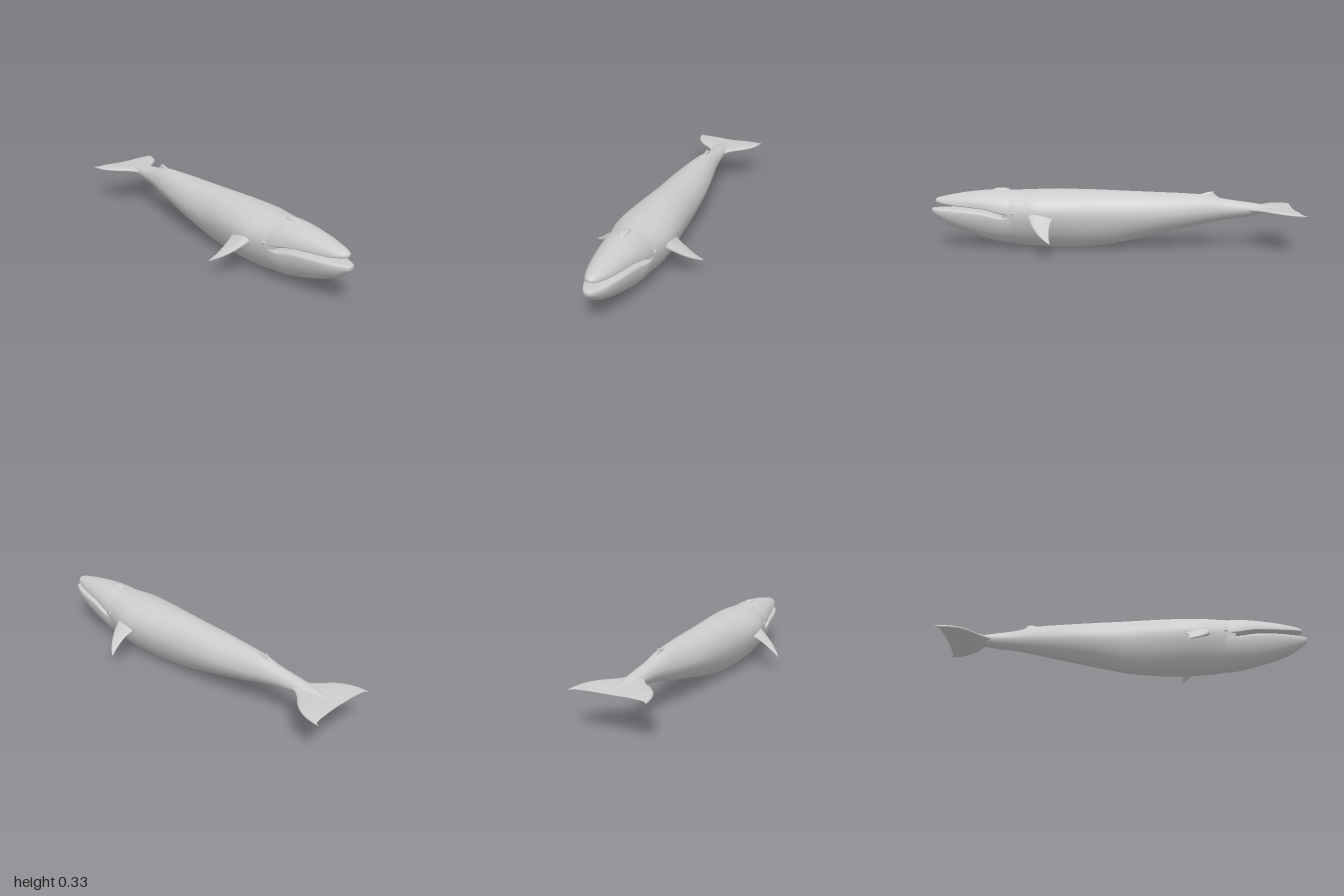
import * as THREE from 'three';

const material = new THREE.MeshStandardMaterial({ color: 0xcccccc });

// Smooth interpolation between the rows of a small station table
function refine(rows, steps) {
  const out = [];
  const at = (i) => rows[Math.min(Math.max(i, 0), rows.length - 1)];
  for (let i = 0; i < rows.length - 1; i++) {
    for (let s = 0; s < steps; s++) {
      const t = s / steps;
      out.push(at(i).map((p1, k) => {
        const p0 = at(i - 1)[k], p2 = at(i + 1)[k], p3 = at(i + 2)[k];
        return p1 + 0.5 * t * (p2 - p0 + t * (2 * p0 - 5 * p1 + 4 * p2 - p3 + t * (3 * (p1 - p2) + p3 - p0)));
      }));
    }
  }
  out.push(rows[rows.length - 1]);
  return out;
}

// Closed skin over a row of rings, each end capped by a fan
function skin(name, rings) {
  const n = rings[0].length, last = rings.length - 1;
  const pos = rings.flat(2), index = [];
  const centre = (ring) => [0, 1, 2].map((k) => ring.reduce((sum, p) => sum + p[k], 0) / n);
  pos.push(...centre(rings[0]), ...centre(rings[last]));
  const start = n * rings.length, end = start + 1;
  for (let j = 0; j < n; j++) {
    const k = (j + 1) % n;
    for (let i = 0; i < last; i++) {
      const a = i * n + j, b = i * n + k, c = b + n, d = a + n;
      index.push(a, d, b, b, d, c);
    }
    index.push(start, j, k, end, last * n + k, last * n + j);
  }
  const geo = new THREE.BufferGeometry();
  geo.setAttribute('position', new THREE.Float32BufferAttribute(pos, 3));
  geo.setIndex(index);
  geo.computeVertexNormals();
  const mesh = new THREE.Mesh(geo, material);
  mesh.name = name;
  return mesh;
}

// Hull along z: stations are [z, half width, y of widest point, top, bottom]
function hull(name, rows, topPower, bottomPower, n = 48) {
  return skin(name, refine(rows, 6).map(([z, w, mid, top, bottom]) =>
    Array.from({ length: n }, (_, j) => {
      const a = (j / n) * Math.PI * 2, c = Math.cos(a), s = Math.sin(a);
      const e = 2 / (s > 0 ? topPower : bottomPower);
      return [
        Math.sign(c) * Math.abs(c) ** e * w,
        mid + (s > 0 ? top - mid : bottom - mid) * Math.abs(s) ** e,
        z,
      ];
    })));
}

// Fin: stations are [x, y, leading z, trailing z, half thickness];
// the thickness direction is (tx, ty)
function fin(name, rows, tx, ty, side = 1, n = 24) {
  return skin(name, refine(rows, 6).map(([x, y, lead, trail, thick]) =>
    Array.from({ length: n }, (_, j) => {
      const a = (j / n) * Math.PI * 2 * side;
      const t = Math.sin(a) * thick * (0.75 + 0.4 * Math.cos(a));
      return [side * (x + tx * t * side * side), y + ty * t, (lead + trail) / 2 + Math.cos(a) * (lead - trail) / 2];
    })));
}

function blob(name, size, position) {
  const mesh = new THREE.Mesh(new THREE.SphereGeometry(1, 24, 16), material);
  mesh.name = name;
  mesh.scale.set(...size);
  mesh.position.set(...position);
  return mesh;
}

export function createModel() {
  const whale = new THREE.Group();
  whale.name = 'whale';

  // Trunk from the mouth corner to the tail
  whale.add(hull('body', [
    [0.60, 0.112, 0.195, 0.313, 0.030],
    [0.56, 0.125, 0.195, 0.314, 0.020],
    [0.50, 0.138, 0.195, 0.315, 0.012],
    [0.40, 0.153, 0.195, 0.318, 0.004],
    [0.25, 0.144, 0.190, 0.319, 0.000],
    [0.10, 0.128, 0.185, 0.316, 0.008],
    [0.00, 0.121, 0.182, 0.312, 0.021],
    [-0.20, 0.109, 0.188, 0.304, 0.065],
    [-0.40, 0.082, 0.200, 0.296, 0.111],
    [-0.50, 0.065, 0.207, 0.287, 0.134],
    [-0.60, 0.050, 0.210, 0.266, 0.155],
    [-0.70, 0.044, 0.212, 0.252, 0.168],
    [-0.78, 0.038, 0.212, 0.240, 0.186],
    [-0.87, 0.024, 0.211, 0.225, 0.200],
    [-0.96, 0.006, 0.209, 0.212, 0.206],
  ], 2, 1.75));

  // Upper jaw, flat underneath
  whale.add(hull('upperJaw', [
    [0.978, 0.006, 0.256, 0.262, 0.250],
    [0.965, 0.026, 0.252, 0.271, 0.243],
    [0.93, 0.045, 0.246, 0.280, 0.237],
    [0.88, 0.062, 0.240, 0.290, 0.231],
    [0.80, 0.082, 0.234, 0.303, 0.225],
    [0.70, 0.102, 0.225, 0.313, 0.216],
    [0.62, 0.117, 0.208, 0.317, 0.194],
    [0.56, 0.124, 0.200, 0.313, 0.180],
    [0.48, 0.128, 0.200, 0.306, 0.160],
  ], 2, 3));

  // Lower jaw, deep and keeled, with a flat lip
  whale.add(hull('lowerJaw', [
    [1.00, 0.005, 0.205, 0.212, 0.198],
    [0.99, 0.024, 0.200, 0.215, 0.180],
    [0.95, 0.046, 0.196, 0.216, 0.147],
    [0.90, 0.065, 0.194, 0.216, 0.117],
    [0.80, 0.089, 0.190, 0.215, 0.077],
    [0.70, 0.106, 0.182, 0.206, 0.047],
    [0.62, 0.119, 0.170, 0.186, 0.028],
    [0.56, 0.124, 0.175, 0.182, 0.021],
    [0.48, 0.128, 0.180, 0.190, 0.022],
  ], 3.5, 1.8));

  // Blowhole ridge
  whale.add(blob('blowholeRidge', [0.022, 0.012, 0.048], [0, 0.314, 0.615]));

  // Flippers and eyes
  for (const side of [1, -1]) {
    const label = side > 0 ? 'left' : 'right';
    whale.add(fin(label + 'Flipper', [
      [0.115, 0.196, 0.475, 0.320, 0.034],
      [0.150, 0.178, 0.455, 0.328, 0.024],
      [0.180, 0.160, 0.441, 0.337, 0.016],
      [0.215, 0.136, 0.420, 0.340, 0.012],
      [0.250, 0.111, 0.391, 0.339, 0.009],
      [0.280, 0.090, 0.358, 0.333, 0.006],
      [0.296, 0.078, 0.336, 0.329, 0.002],
    ], 0.55, 0.83, side));
    whale.add(blob(label + 'Eye', [0.006, 0.008, 0.012], [side * 0.129, 0.205, 0.545]));
  }

  // Dorsal fin, swept backwards
  whale.add(skin('dorsalFin', refine([
    [0.265, -0.41, -0.575, 0.016],
    [0.285, -0.44, -0.548, 0.010],
    [0.297, -0.475, -0.535, 0.006],
    [0.306, -0.512, -0.532, 0.002],
  ], 5).map(([y, lead, trail, thick]) => Array.from({ length: 20 }, (_, j) => {
    const a = (j / 20) * Math.PI * 2;
    return [-Math.sin(a) * thick, y, (lead + trail) / 2 + Math.cos(a) * (lead - trail) / 2];
  }))));

  // Tail flukes in one span from tip to tip
  const half = [
    [0.000, 0.211, -0.66, -0.966, 0.020],
    [0.030, 0.211, -0.69, -0.967, 0.019],
    [0.055, 0.212, -0.745, -0.968, 0.016],
    [0.090, 0.213, -0.786, -0.970, 0.014],
    [0.130, 0.213, -0.820, -0.973, 0.013],
    [0.165, 0.212, -0.862, -0.975, 0.010],
    [0.188, 0.210, -0.910, -0.980, 0.007],
    [0.198, 0.208, -0.960, -0.994, 0.004],
    [0.199, 0.207, -0.990, -1.000, 0.001],
  ];
  const mirrored = half.slice(1).reverse().map(([x, ...rest]) => [-x, ...rest]);
  whale.add(fin('tailFlukes', [...mirrored, ...half], 0, 1));

  return whale;
}
